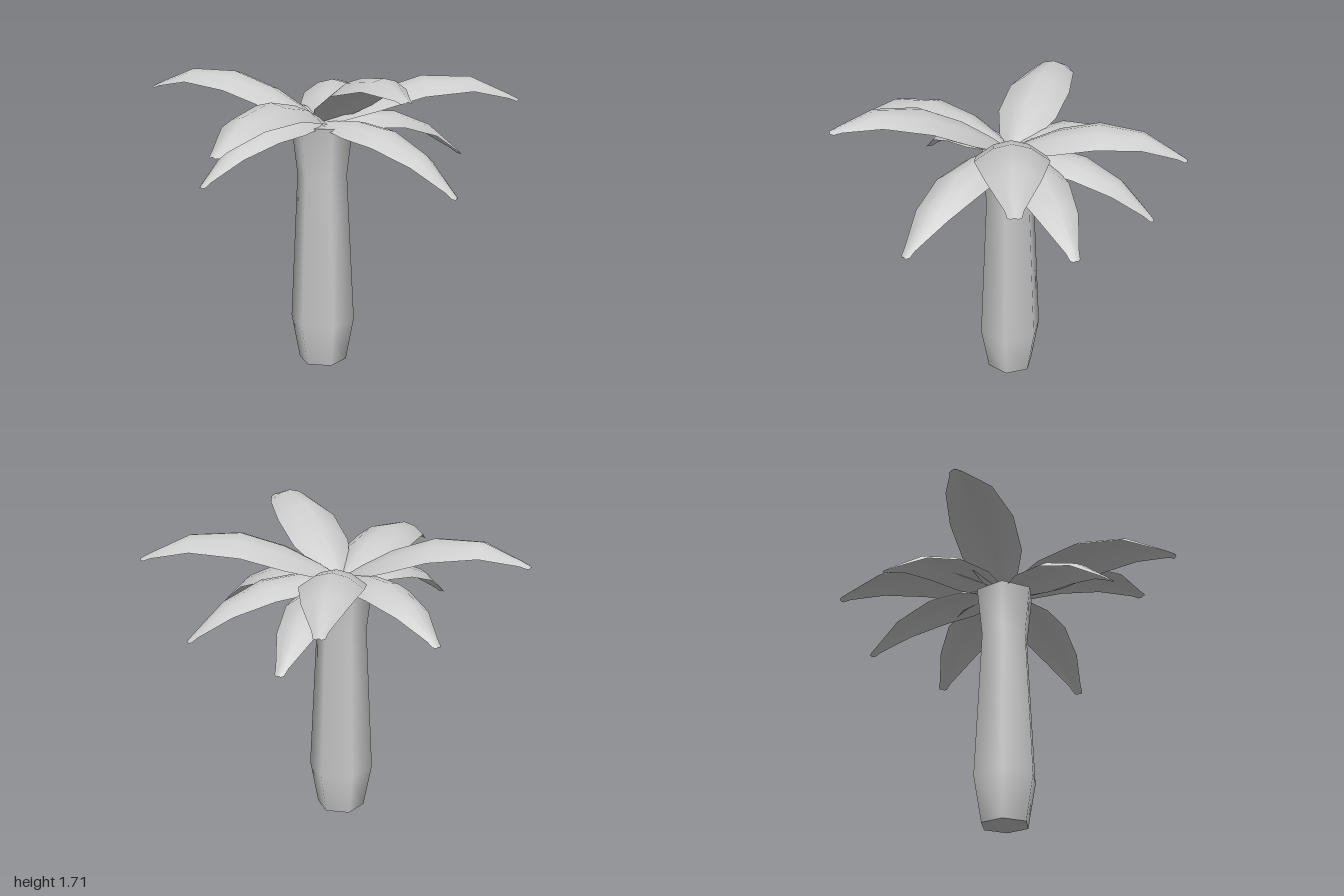
import * as THREE from 'three';

const CENTER = -0.075;
const CROWN_Y = 1.38;
const leafMaterial = new THREE.MeshStandardMaterial({ color: 0xcccccc, side: THREE.DoubleSide });
const trunkMaterial = new THREE.MeshStandardMaterial({ color: 0xcccccc });

// Stations along a leaf: [fraction of length, half width, upward bulge], relative to length
const STATIONS = [
  [0, 0.008, 0], [0.11, 0.1, 0.06], [0.28, 0.168, 0.133], [0.5, 0.175, 0.18],
  [0.75, 0.124, 0.145], [0.945, 0.042, 0.035], [0.985, 0.032, 0.01], [1, 0.014, 0],
];
const ACROSS = [-1, -0.5, 0, 0.5, 1];

// Leaf arching from the crown to its tip, with edges drooping on both sides
function leafGeometry(tipX, tipY, tipZ) {
  const dx = tipX - CENTER, dz = tipZ, dy = tipY - CROWN_Y;
  const length = Math.hypot(dx, dz);
  const positions = [], index = [], n = ACROSS.length;
  STATIONS.forEach(([t, width, bulge], i) => {
    for (const s of ACROSS) {
      const w = s * width;
      positions.push(
        dx * t - dz * w,
        dy * t + (bulge - 0.48 * width * s * s) * length,
        dz * t + dx * w,
      );
    }
    if (i === 0) return;
    for (let j = 0; j < n - 1; j++) {
      const a = (i - 1) * n + j, b = a + n;
      index.push(a, a + 1, b, a + 1, b + 1, b);
    }
  });
  const geometry = new THREE.BufferGeometry();
  geometry.setAttribute('position', new THREE.Float32BufferAttribute(positions, 3));
  geometry.setIndex(index);
  geometry.computeVertexNormals();
  return geometry;
}

function addMesh(parent, name, geometry, material) {
  const mesh = new THREE.Mesh(geometry, material);
  mesh.name = name;
  parent.add(mesh);
  return mesh;
}

function createTrunk() {
  const trunk = new THREE.Group();
  trunk.name = 'trunk';
  const profile = [[0.135, 0], [0.181, 0.25], [0.139, 1.09], [0.172, 1.37]];
  const points = profile.map(([r, y]) => new THREE.Vector2(r, y));
  addMesh(trunk, 'trunkSides', new THREE.LatheGeometry(points, 6, Math.PI / 12), trunkMaterial);

  // Flat ends
  const bottom = new THREE.CircleGeometry(0.135, 6, Math.PI / 12).rotateX(Math.PI / 2);
  addMesh(trunk, 'trunkBottom', bottom, trunkMaterial);
  const top = new THREE.CircleGeometry(0.172, 6, -Math.PI / 12).rotateX(-Math.PI / 2);
  addMesh(trunk, 'trunkTop', top, trunkMaterial).position.y = 1.37;

  trunk.position.x = CENTER;
  return trunk;
}

export function createModel() {
  const model = new THREE.Group();
  model.name = 'palmTree';
  model.add(createTrunk());

  // Leaf tips of the raised and the drooping ring
  const rings = {
    upperLeaf: [
      [1, 1.5, 0.06], [0.24, 1.635, 0.93], [-0.66, 1.375, 0.83],
      [-1, 1.535, -0.41], [0.13, 1.375, -0.93],
    ],
    lowerLeaf: [
      [0.56, 1.08, 0.58], [-0.73, 1.14, 0.45], [-0.475, 1.23, -0.71],
      [0.31, 1.115, -0.73], [0.76, 1.135, -0.26],
    ],
  };
  const crown = new THREE.Group();
  crown.name = 'crown';
  crown.position.set(CENTER, CROWN_Y, 0);
  for (const [name, tips] of Object.entries(rings)) {
    tips.forEach((tip, i) => addMesh(crown, `${name}${i + 1}`, leafGeometry(...tip), leafMaterial));
  }
  model.add(crown);
  return model;
}
